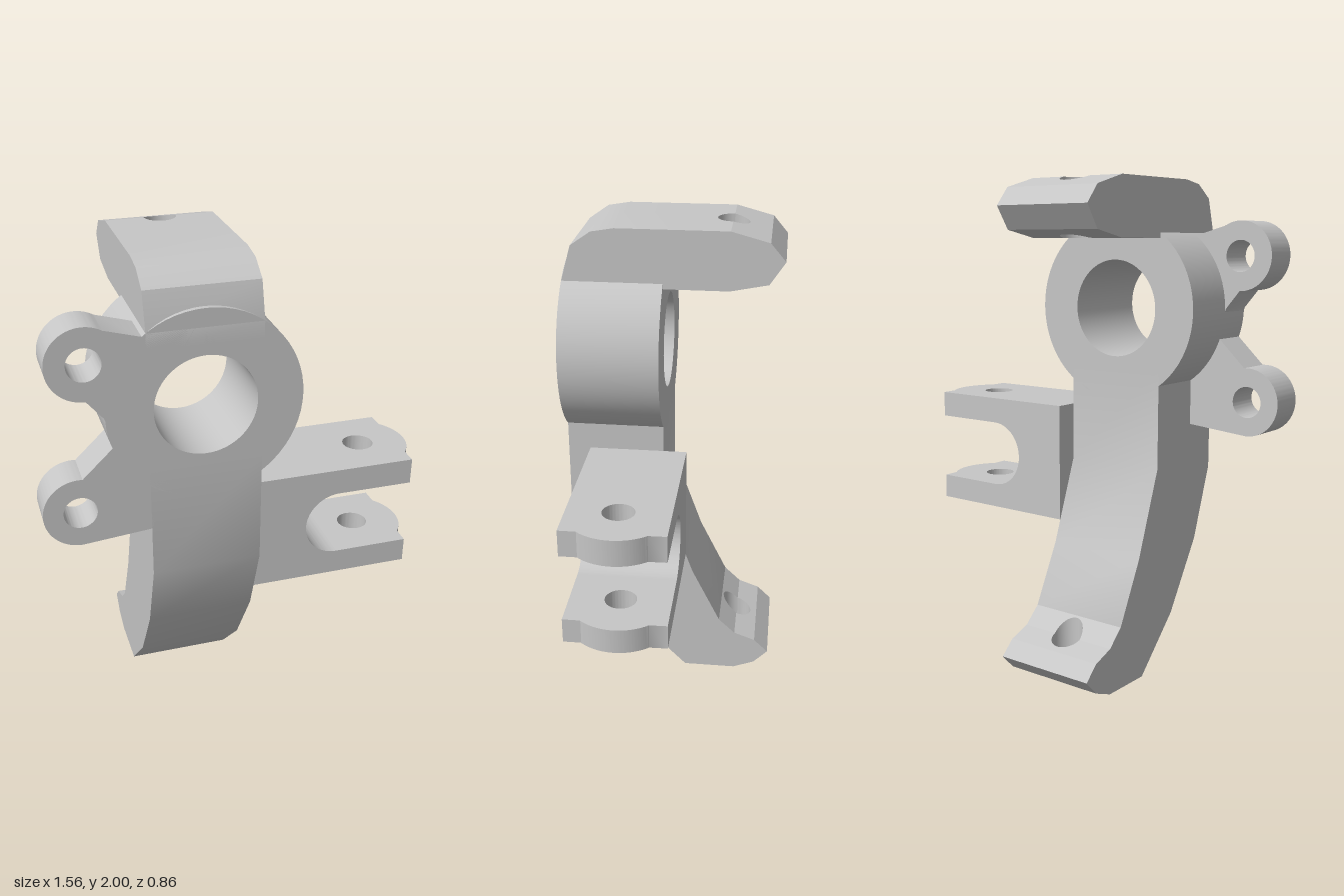
import * as THREE from 'three';
import { toCreasedNormals } from 'three/addons/utils/BufferGeometryUtils.js';

const XL = -0.378, XR = 0.052, CX = -0.163; // spine sides and centre line
const BACK = 0.035, FRONT = 0.43;

export function createModel() {
  const group = new THREE.Group();
  const metal = new THREE.MeshStandardMaterial({ color: 0xc6c6c6 });
  metal.name = 'light grey metal';

  const add = (name, geometry) => {
    const mesh = new THREE.Mesh(toCreasedNormals(geometry, 0.65), metal);
    mesh.name = name;
    group.add(mesh);
  };
  const polygon = (pts) => new THREE.Shape(pts.map(([x, y]) => new THREE.Vector2(x, y)));
  const extrude = (shape, depth) =>
    new THREE.ExtrudeGeometry(shape, { depth, bevelEnabled: false, curveSegments: 32 });
  const circle = (x, y, r) => new THREE.Path().absarc(x, y, r, 0, Math.PI * 2, false);

  // Side profile given as [z, y], swept across the spine width
  const sweep = (name, pts) => add(name,
    extrude(polygon(pts.map(([z, y]) => [-z, y])), XR - XL).rotateY(Math.PI / 2).translate(XL, 0, 0));

  // Sloped slab with half of a vertical bolt hole cut into its edge at zHole
  const slab = (name, zHole, zFar, bottom, top) => {
    const r = 0.063, s = Math.sign(zFar - zHole);
    const pts = [[XL, -zFar], [XR, -zFar], [XR, -zHole]];
    for (let i = 0; i <= 20; i++) {
      const a = Math.PI * i / 20;
      pts.push([CX + r * Math.cos(a), -(zHole + s * r * Math.sin(a))]);
    }
    pts.push([XL, -zHole]);
    const geometry = extrude(polygon(pts), 1).rotateX(-Math.PI / 2);
    const p = geometry.attributes.position;
    for (let i = 0; i < p.count; i++) {
      const t = (p.getZ(i) - zHole) / (zFar - zHole);
      const lo = THREE.MathUtils.lerp(bottom[0], bottom[1], t);
      const hi = THREE.MathUtils.lerp(top[0], top[1], t);
      p.setY(i, THREE.MathUtils.lerp(lo, hi, p.getY(i)));
    }
    add(name, geometry);
  };

  // Upper arm
  sweep('upperArm', [[-0.1, 1.77], [0.035, 1.77], [0.06, 1.72], [0.43, 1.72], [0.43, 1.79],
    [0.39, 1.93], [0.31, 1.985], [0.22, 2], [-0.1, 2]]);
  slab('upperArmHoleFront', -0.22, -0.1, [1.77, 1.77], [2, 2]);
  slab('upperArmHoleBack', -0.22, -0.37, [1.77, 1.8], [2, 1.96]);
  sweep('upperArmTip', [[-0.37, 1.8], [-0.37, 1.96], [-0.43, 1.89]]);

  // Spine and lower arm
  sweep('spine', [[-0.21, 0.255], [-0.21, 0], [-0.06, 0], [0.15, 0.215], [0.325, 0.5], [0.43, 0.8],
    [0.43, 1.25], [0.035, 1.25], [0.035, 0.85], [-0.09, 0.5]]);
  slab('lowerArmHoleFront', -0.28, -0.21, [0, 0], [0.188, 0.255]);
  slab('lowerArmHoleBack', -0.28, -0.37, [0, 0.035], [0.188, 0.155]);
  sweep('lowerArmTip', [[-0.37, 0.035], [-0.37, 0.155], [-0.43, 0.097]]);

  // Bearing ring
  const ring = new THREE.Shape().absarc(CX, 1.49, 0.37, 0, Math.PI * 2, false);
  ring.holes.push(circle(CX, 1.49, 0.195));
  add('bearingRing', extrude(ring, FRONT - BACK).translate(0, 0, BACK));

  // Mounting ears: a web of points closed by a rounded, drilled end
  const ear = (name, x, y, endAngle, pts) => {
    const shape = polygon(pts);
    shape.absarc(x, y, 0.138, -Math.PI / 2, endAngle, true);
    shape.holes.push(circle(x, y, 0.063));
    add(name, extrude(shape, 0.155).translate(0, 0, FRONT - 0.155));
  };
  ear('upperEar', -0.597, 1.7, 1.02,
    [[-0.525, 1.818], [-0.39, 1.78], [-0.36, 1.7], [-0.4, 1.47], [-0.53, 1.47], [-0.537, 1.49]]);
  ear('lowerEar', -0.642, 1.12, 1.46,
    [[-0.627, 1.257], [-0.512, 1.367], [-0.4, 1.36], [-0.33, 1.2], [-0.33, 1.005], [-0.378, 1.005]]);

  // Fork base with the rounded end of the slot
  const y0 = 0.592, y1 = 1.08, yc = 0.833, r = 0.139, xs = 0.42;
  const base = polygon([[xs, y1], [XR, y1], [XR, y0], [xs, y0], [xs, yc - r]]);
  base.absarc(xs, yc, r, -Math.PI / 2, Math.PI / 2, true);
  add('forkBase', extrude(base, 0.4).translate(0, 0, -0.06));

  // Fork prongs with rounded noses and vertical pin holes
  const prong = (name, lo, hi) => {
    const shape = polygon([[xs, 0.06], [xs, -0.34], [0.73, -0.34], [0.73, -0.27]]);
    shape.absarc(0.575, -0.14, 0.203, -0.69, 0.69, false);
    shape.lineTo(0.73, 0.06);
    shape.holes.push(circle(0.575, -0.14, 0.063));
    add(name, extrude(shape, hi - lo).rotateX(-Math.PI / 2).translate(0, lo, 0));
  };
  prong('lowerProng', y0, yc - r);
  prong('upperProng', yc + r, y1);

  return group;
}
